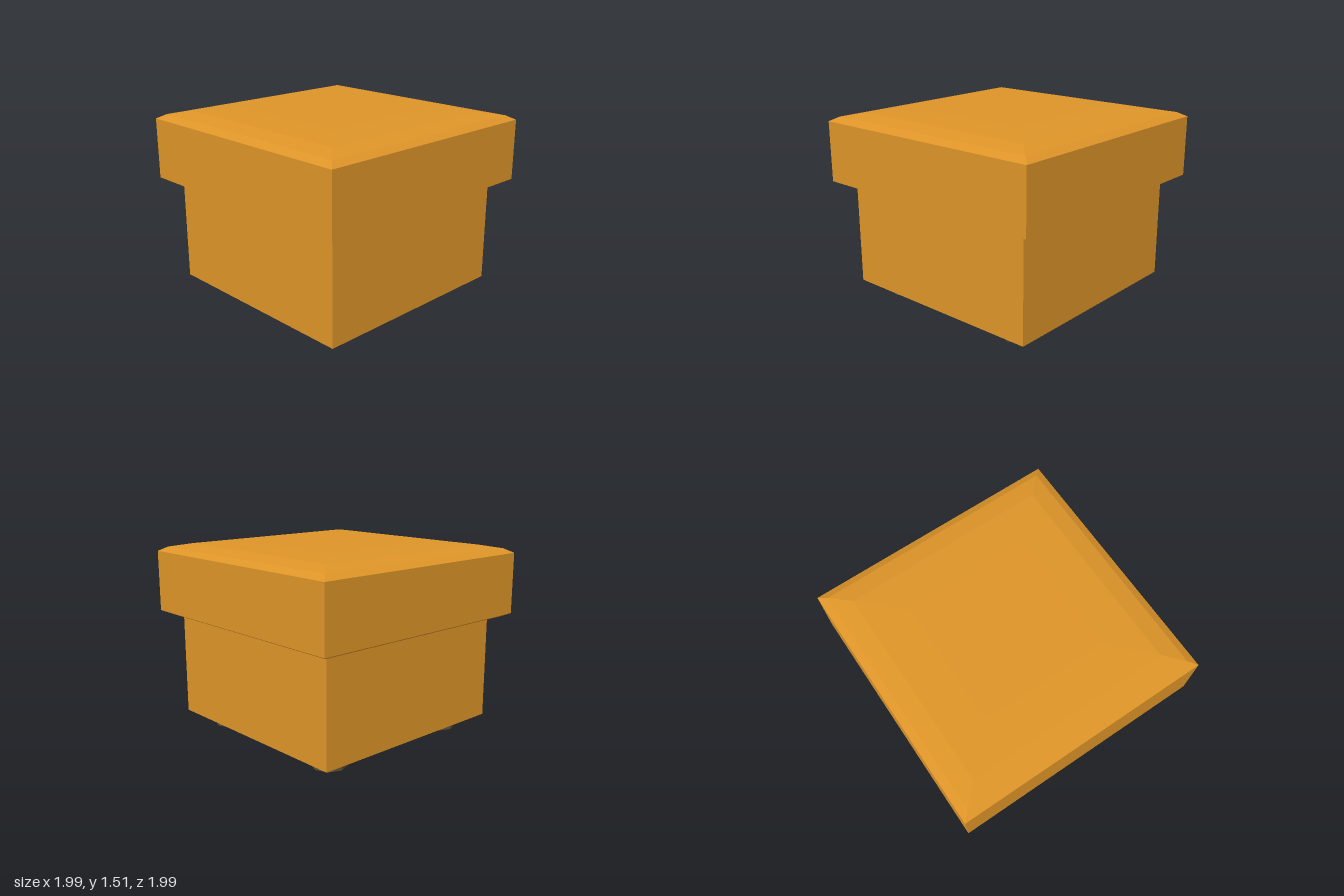
import * as THREE from 'three';

const upholstery = new THREE.MeshStandardMaterial({ color: 0xdd9428, flatShading: true });
const darkWood = new THREE.MeshStandardMaterial({ color: 0x5a4e35, flatShading: true });

// Square solid swept from a profile of [half width, height], bottom to top
function squareSolid(name, profile) {
  const points = profile.map(([half, y]) => new THREE.Vector2(half * Math.SQRT2, y));
  const geometry = new THREE.LatheGeometry(points, 4, Math.PI / 4).toNonIndexed();
  geometry.computeVertexNormals();
  const mesh = new THREE.Mesh(geometry, upholstery);
  mesh.name = name;
  return mesh;
}

export function createModel() {
  const group = new THREE.Group();
  group.name = 'footstool';

  // Box base with a bevelled underside
  group.add(squareSolid('base', [
    [0, 0.08], [0.8, 0.08], [0.865, 0.1], [0.865, 0.91], [0, 0.91],
  ]));

  // Overhanging cushion with a softly domed top
  group.add(squareSolid('cushion', [
    [0, 0.905], [0.865, 0.905], [0.935, 0.923], [0.997, 0.952],
    [0.997, 1.435], [0.935, 1.47], [0.795, 1.498], [0.5, 1.508], [0, 1.51],
  ]));

  // Four octagonal feet
  const footGeometry = new THREE.CylinderGeometry(0.135, 0.135, 0.075, 8);
  for (const x of [-0.605, 0.61]) {
    for (const z of [-0.61, 0.605]) {
      const foot = new THREE.Mesh(footGeometry, darkWood);
      foot.name = `${z > 0 ? 'front' : 'back'}${x > 0 ? 'Left' : 'Right'}Foot`;
      foot.position.set(x, 0.0375, z);
      group.add(foot);
    }
  }
  return group;
}
